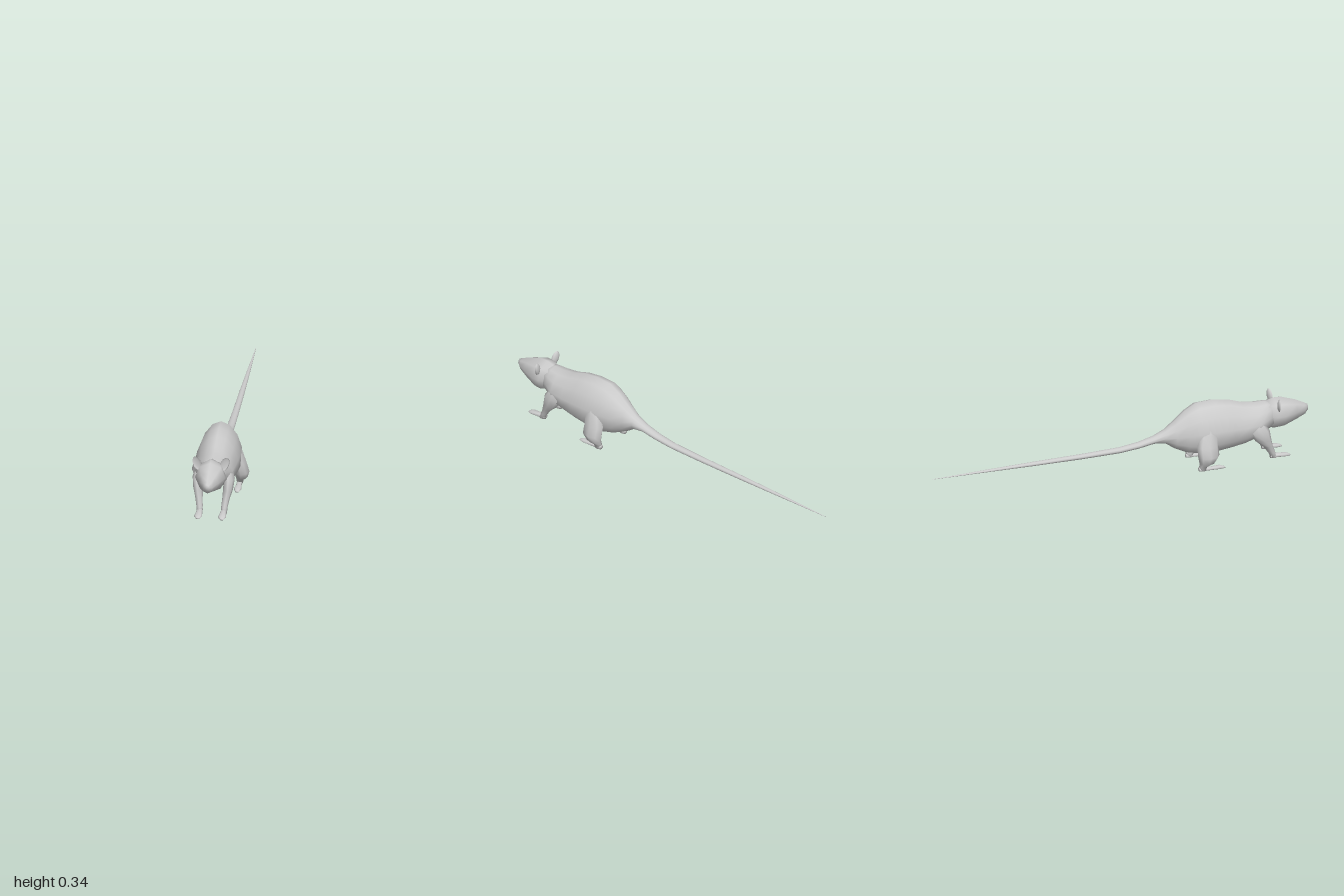
import * as THREE from 'three';

const material = new THREE.MeshStandardMaterial({ color: 0xcccccc, side: THREE.DoubleSide });

// Skin a closed surface over rings of equal point count, with a fan at each end
function loft(name, rings) {
  const n = rings[0].length;
  const pos = rings.flat(2);
  const index = [];
  for (let s = 0; s < rings.length - 1; s++) {
    for (let i = 0; i < n; i++) {
      const j = (i + 1) % n;
      const a = s * n + i, b = s * n + j, c = a + n, d = b + n;
      index.push(a, b, c, b, d, c);
    }
  }
  const centre = (ring) => [0, 1, 2].map((k) => ring.reduce((sum, p) => sum + p[k], 0) / n);
  const first = rings.length * n;
  const lastRing = (rings.length - 1) * n;
  pos.push(...centre(rings[0]), ...centre(rings[rings.length - 1]));
  for (let i = 0; i < n; i++) {
    const j = (i + 1) % n;
    index.push(first, j, i, first + 1, lastRing + i, lastRing + j);
  }
  const geometry = new THREE.BufferGeometry();
  geometry.setAttribute('position', new THREE.Float32BufferAttribute(pos, 3));
  geometry.setIndex(index);
  geometry.computeVertexNormals();
  const mesh = new THREE.Mesh(geometry, material);
  mesh.name = name;
  return mesh;
}

// Ring facing along z; pear makes the lower half wider than the upper half
function ringZ([z, top, bottom, w, pear = 0], sides = 10, cx = 0) {
  return Array.from({ length: sides }, (_, i) => {
    const a = (i / sides) * Math.PI * 2;
    const x = cx + w * Math.sin(a) * (1 - pear * Math.cos(a));
    return [x, (top + bottom) / 2 + ((top - bottom) / 2) * Math.cos(a), z];
  });
}

// Horizontal ring for the legs, listed from top to bottom
function ringY([y, x, z, rx, rz], side, sides = 8) {
  return Array.from({ length: sides }, (_, i) => {
    const a = (i / sides) * Math.PI * 2;
    return [side * x - rx * Math.sin(a), y, z + rz * Math.cos(a)];
  });
}

// z, top, bottom, half width, pear
const bodySections = [
  [0.83, 0.28, 0.16, 0.05], [0.77, 0.288, 0.135, 0.072, 0.1],
  [0.72, 0.288, 0.11, 0.096, 0.22], [0.65, 0.3, 0.088, 0.099, 0.25],
  [0.58, 0.324, 0.076, 0.107, 0.25], [0.5, 0.337, 0.066, 0.11, 0.25],
  [0.41, 0.333, 0.064, 0.104, 0.2], [0.35, 0.3, 0.075, 0.08, 0.12],
  [0.29, 0.25, 0.105, 0.053], [0.24, 0.212, 0.14, 0.036],
  [0.18, 0.185, 0.148, 0.027], [0.1, 0.165, 0.134, 0.023],
  [0, 0.152, 0.124, 0.02], [-0.2, 0.147, 0.122, 0.017],
  [-0.45, 0.145, 0.124, 0.014], [-0.7, 0.141, 0.128, 0.009],
  [-1, 0.134, 0.132, 0.001],
];
const headSections = [
  [1, 0.236, 0.206, 0.013], [0.982, 0.247, 0.184, 0.026],
  [0.93, 0.272, 0.164, 0.05], [0.86, 0.296, 0.14, 0.076],
  [0.82, 0.298, 0.134, 0.073], [0.77, 0.284, 0.155, 0.053],
];

// y, x, z, x radius, z radius
const frontLegSections = [
  [0.21, 0.068, 0.7, 0.022, 0.035], [0.16, 0.078, 0.715, 0.028, 0.055],
  [0.11, 0.075, 0.738, 0.025, 0.042], [0.07, 0.068, 0.765, 0.019, 0.025],
  [0.03, 0.062, 0.788, 0.016, 0.018], [0.003, 0.062, 0.798, 0.015, 0.016],
];
const hindLegSections = [
  [0.225, 0.072, 0.45, 0.024, 0.03], [0.19, 0.08, 0.445, 0.032, 0.05],
  [0.13, 0.094, 0.435, 0.036, 0.057], [0.08, 0.107, 0.435, 0.038, 0.056],
  [0.045, 0.104, 0.427, 0.03, 0.04], [0.025, 0.094, 0.41, 0.018, 0.022],
  [0.003, 0.094, 0.408, 0.015, 0.018],
];
// z, top, bottom, half width
const frontFootSections = [
  [0.885, 0.008, 0, 0.009], [0.865, 0.016, 0, 0.02],
  [0.83, 0.02, 0, 0.017], [0.78, 0.026, 0, 0.014],
];
const hindFootSections = [
  [0.525, 0.008, 0, 0.009], [0.5, 0.017, 0, 0.019],
  [0.45, 0.016, 0, 0.014], [0.388, 0.022, 0, 0.014],
];

// Thin cupped ear, hollow towards the front
function ear(side) {
  const geometry = new THREE.SphereGeometry(1, 10, 8);
  const p = geometry.attributes.position;
  for (let i = 0; i < p.count; i++) {
    const z = p.getZ(i);
    p.setXYZ(i, p.getX(i) * 0.023, p.getY(i) * 0.037, z * (z > 0 ? -0.006 : 0.013));
  }
  geometry.computeVertexNormals();
  const mesh = new THREE.Mesh(geometry, material);
  mesh.position.set(side * 0.069, 0.279, 0.828);
  mesh.rotation.set(0, side * 0.25, -side * 0.35);
  return mesh;
}

export function createModel() {
  const model = new THREE.Group();
  model.name = 'rat';
  model.add(loft('bodyAndTail', bodySections.map((s) => ringZ(s, 12))));
  model.add(loft('head', headSections.map((s) => ringZ(s, 8))));

  for (const side of [1, -1]) {
    const label = side > 0 ? 'left' : 'right';
    const earMesh = ear(side);
    earMesh.name = label + 'Ear';
    model.add(
      earMesh,
      loft(label + 'FrontLeg', frontLegSections.map((s) => ringY(s, side))),
      loft(label + 'FrontFoot', frontFootSections.map((s) => ringZ(s, 8, side * 0.06))),
      loft(label + 'HindLeg', hindLegSections.map((s) => ringY(s, side))),
      loft(label + 'HindFoot', hindFootSections.map((s) => ringZ(s, 8, side * 0.093))),
    );
  }
  return model;
}
